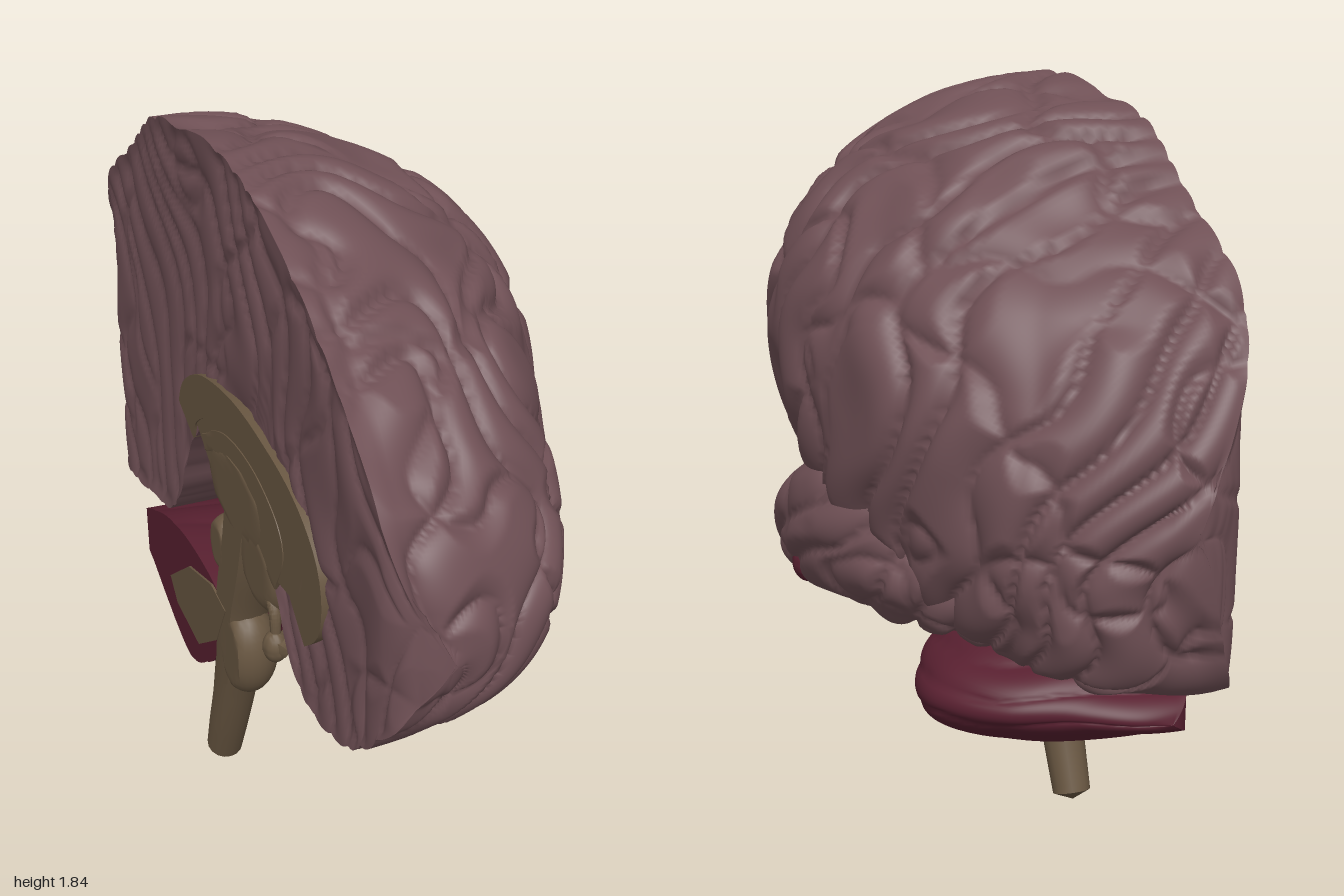
import * as THREE from 'three';
import { toCreasedNormals } from 'three/addons/utils/BufferGeometryUtils.js';

const CUT = -0.375; // x of the flat midline cut
const { smoothstep, lerp, clamp } = THREE.MathUtils;

const flat = (name, color) => Object.assign(new THREE.MeshStandardMaterial({ color }), { name });

// Smooth seeded value noise, 0..1
const hash = (x, y, z) => {
  const s = Math.sin(x * 127.1 + y * 311.7 + z * 74.7) * 43758.5453;
  return s - Math.floor(s);
};
function noise(x, y, z) {
  const c = [x, y, z].map(Math.floor);
  const f = [x - c[0], y - c[1], z - c[2]].map((t) => t * t * (3 - 2 * t));
  let sum = 0;
  for (let k = 0; k < 8; k++) {
    const i = k & 1, j = (k >> 1) & 1, l = k >> 2;
    sum += hash(c[0] + i, c[1] + j, c[2] + l)
      * (i ? f[0] : 1 - f[0]) * (j ? f[1] : 1 - f[1]) * (l ? f[2] : 1 - f[2]);
  }
  return sum;
}

// Winding folds: 1 on a ridge, 0 in a groove
function folds(x, y, z, phase) {
  const u = 0.8 * x + 0.6 * z, t = 0.8 * z - 0.6 * x, v = 0.8 * y + 0.6 * t, w = 0.8 * t - 0.6 * y;
  const a = Math.abs(Math.sin(phase + 9 * noise(u * 3.6 + 5, v * 3.6, w * 3.6 + 5)));
  const b = Math.min(1, 0.1 + 9 * Math.abs(noise(u * 5 + 20, v * 5 + 9, w * 5 + 13) - 0.5));
  return Math.sqrt(Math.min(a, b));
}
const cerebrumFolds = (x, y, z) => folds(x, y, z, 17 * z + 9 * y - 16 * x * z);
const temporalFolds = (x, y, z) => folds(x, y, z, 21 * (y + 0.6 * z) + 8 * x);
const leafFolds = (x, y, z) => Math.sqrt(Math.abs(Math.sin(46 * (y + 0.12 * z) + 3 * noise(x * 4, y * 4, z * 4))));

// Smooth lookup in rows of [z, top, bottom, width, centre x, tuck], eased at both ends
function sampler(rows) {
  const z0 = rows[0][0], z1 = rows[rows.length - 1][0];
  const ang = rows.map((r) => Math.acos(clamp(1 - 2 * (r[0] - z0) / (z1 - z0), -1, 1)));
  const slope = (i, c) => {
    const a = Math.max(0, i - 1), b = Math.min(rows.length - 1, i + 1);
    return (rows[b][c] - rows[a][c]) / (ang[b] - ang[a]);
  };
  return (t) => {
    const th = t * Math.PI;
    let i = 0;
    while (i < rows.length - 2 && th > ang[i + 1]) i++;
    const h = ang[i + 1] - ang[i], u = (th - ang[i]) / h, u2 = u * u, u3 = u2 * u;
    const out = [1, 2, 3, 4, 5].map((c) => (2 * u3 - 3 * u2 + 1) * rows[i][c] + (3 * u2 - 2 * u3) * rows[i + 1][c]
      + h * ((u3 - 2 * u2 + u) * slope(i, c) + (u3 - u2) * slope(i + 1, c)));
    return [z0 + (z1 - z0) * (1 - Math.cos(th)) / 2, ...out];
  };
}

// Grid surface from a point rule
function grid(ni, nj, point) {
  const pos = [], index = [];
  for (let i = 0; i <= ni; i++) {
    for (let j = 0; j <= nj; j++) {
      pos.push(...point(i, j));
      if (i < ni && j < nj) {
        const a = i * (nj + 1) + j, b = a + nj + 1;
        index.push(a, a + 1, b, a + 1, b + 1, b);
      }
    }
  }
  const g = new THREE.BufferGeometry();
  g.setAttribute('position', new THREE.Float32BufferAttribute(pos, 3));
  g.setIndex(index);
  g.computeVertexNormals();
  return g;
}

// Lobe lofted along z, its surface pressed in along the grooves; belly(z) < 1 fills out the lower side
function lobe(rows, ni, nj, half, belly, depth, fold) {
  const at = sampler(rows), span = half ? Math.PI : 2 * Math.PI;
  const g = grid(ni, nj, (i, j) => {
    const [z, top, bottom, w, cx, tuck] = at(i / ni);
    const a = (j / nj - 0.5) * span, s = Math.sin(a), c = Math.cos(a);
    const y = (top + bottom) / 2 + s * (top - bottom) / 2 + Math.max(0, tuck) * Math.max(0, -s) ** 24;
    return [cx + Math.max(0, w) * Math.sign(c) * Math.abs(c) ** (s < 0 ? belly(z) : 1), y, z];
  });
  const p = g.attributes.position, n = g.attributes.normal;
  for (let k = 0; k < p.count; k++) {
    const x = p.getX(k), y = p.getY(k), z = p.getZ(k), j = k % (nj + 1);
    const rim = half ? Math.min(1, 0.35 + 6 * Math.sin(Math.PI * j / nj)) : 1;
    const d = depth * rim * (fold(x, y, z) - 1) * Math.min(1, 6 * Math.sin(Math.PI * Math.floor(k / (nj + 1)) / ni));
    const nx = x + n.getX(k) * d;
    p.setXYZ(k, half ? Math.max(CUT, nx) : nx, y + n.getY(k) * d, z + n.getZ(k) * d);
  }
  g.computeVertexNormals();
  return g;
}

// Midline wall that closes a half lobe
function wall(shell, ni, nj, cols, depth, fold) {
  const p = shell.attributes.position;
  return grid(ni, cols, (i, j) => {
    const lo = i * (nj + 1), hi = lo + nj, t = j / cols;
    const [x, y, z] = ['getX', 'getY', 'getZ'].map((get) => lerp(p[get](hi), p[get](lo), t));
    return [x + depth * (1 - fold(x, y, z)) * Math.min(1, 8 * Math.sin(Math.PI * t)), y, z];
  });
}

// Flatten anything that crosses the midline
function trim(g) {
  const p = g.attributes.position;
  for (let k = 0; k < p.count; k++) p.setX(k, Math.max(CUT - 0.004, p.getX(k)));
  return toCreasedNormals(g, 0.7);
}
const ball = (c, r) => trim(new THREE.SphereGeometry(1, 28, 20).scale(...r).translate(...c));

// Tapered cord through [x, y, z] points, closed at both ends
function cord(points, r0, r1) {
  const curve = new THREE.CatmullRomCurve3(points.map((q) => new THREE.Vector3(...q)));
  const n = 48, g = new THREE.TubeGeometry(curve, n, 1, 16), p = g.attributes.position;
  const v = new THREE.Vector3();
  for (let k = 0; k < p.count; k++) {
    const i = Math.floor(k / 17), c = curve.getPointAt(i / n);
    const r = i === 0 || i === n ? 0 : lerp(r0, r1, i / n);
    v.fromBufferAttribute(p, k).sub(c).multiplyScalar(r).add(c);
    p.setXYZ(k, v.x, v.y, v.z);
  }
  return trim(g);
}

// Plate drawn in (z, y), with its outer face at x = face
const plate = (pts, face, depth) => new THREE.ExtrudeGeometry(new THREE.Shape(pts), { depth, bevelEnabled: false })
  .rotateY(-Math.PI / 2).translate(face + depth, 0, 0);
const v2 = (list) => list.map(([a, b]) => new THREE.Vector2(a, b));

export function createModel() {
  const model = new THREE.Group();
  const cortex = flat('cortex mauve', 0x6f5055);
  const red = flat('cerebellum red', 0x582030);
  const tan = flat('white matter tan', 0x685641);
  const add = (name, geometry, material) => {
    const m = new THREE.Mesh(geometry, material);
    m.name = name;
    model.add(m);
  };

  // Cerebral hemisphere: z, top, bottom, width, centre x, tuck under the midline
  const cerebrum = [
    [-1, 1.02, 1.02, 0, -0.2, 0], [-0.97, 1.23, 0.74, 0.2, -0.29, 0], [-0.9, 1.38, 0.6, 0.4, -0.355, 0],
    [-0.8, 1.51, 0.57, 0.53, CUT, 0.02], [-0.6, 1.64, 0.585, 0.64, CUT, 0.04],
    [-0.4, 1.78, 0.61, 0.715, CUT, 0.09], [-0.2, 1.815, 0.63, 0.76, CUT, 0.38],
    [0, 1.845, 0.68, 0.755, CUT, 0.48], [0.2, 1.825, 0.69, 0.71, CUT, 0.44], [0.3, 1.795, 0.68, 0.675, CUT, 0.24],
    [0.4, 1.755, 0.675, 0.635, CUT, 0.06], [0.5, 1.705, 0.67, 0.6, CUT, 0],
    [0.6, 1.64, 0.67, 0.565, CUT, 0], [0.75, 1.53, 0.72, 0.5, CUT, 0],
    [0.9, 1.37, 0.85, 0.4, CUT, 0], [0.97, 1.24, 0.94, 0.25, -0.345, 0], [1, 1.07, 1.07, 0, -0.26, 0],
  ];
  const belly = (z) => 0.36 + 0.26 * smoothstep(z, -0.25, 0.2) + 0.25 * smoothstep(-z, 0.65, 0.95);
  const shell = lobe(cerebrum, 210, 150, true, belly, 0.04, cerebrumFolds);
  add('cerebralHemisphere', shell, cortex);
  add('hemisphereMidlineWall', wall(shell, 210, 150, 60, 0.02, cerebrumFolds), cortex);

  // Temporal lobe, with a dark patch showing low on its side
  const temporal = [
    [-0.7, 0.78, 0.78, 0, 0, 0], [-0.55, 0.92, 0.64, 0.19, 0.04, 0], [-0.35, 1.03, 0.61, 0.25, 0.1, 0],
    [-0.1, 1.08, 0.56, 0.27, 0.115, 0], [0.1, 1.0, 0.525, 0.265, 0.095, 0], [0.3, 0.88, 0.5, 0.22, 0.06, 0],
    [0.42, 0.78, 0.53, 0.15, 0.04, 0], [0.47, 0.65, 0.65, 0, 0.04, 0],
  ];
  add('temporalLobe', lobe(temporal, 120, 100, false, () => 1, 0.036, temporalFolds), cortex);
  add('temporalPatch', ball([0.3, 0.67, 0.015], [0.04, 0.05, 0.045]), red);

  // Cerebellum with its cut face
  const cerebellum = [
    [-0.76, 0.46, 0.46, 0, -0.3, 0], [-0.68, 0.54, 0.4, 0.28, CUT, 0], [-0.6, 0.58, 0.36, 0.42, CUT, 0],
    [-0.45, 0.63, 0.28, 0.53, CUT, 0], [-0.33, 0.645, 0.25, 0.53, CUT, 0], [-0.2, 0.64, 0.32, 0.45, CUT, 0],
    [-0.1, 0.62, 0.41, 0.3, CUT, 0], [-0.03, 0.55, 0.55, 0, CUT, 0],
  ];
  const small = lobe(cerebellum, 80, 60, true, () => 1.3, 0.01, leafFolds);
  add('cerebellum', small, red);
  add('cerebellumMidlineWall', wall(small, 80, 60, 8, 0, leafFolds), red);
  add('cerebellumCutFace', plate(v2([[-0.02, 0.6], [-0.12, 0.62], [-0.3, 0.57], [-0.47, 0.44],
    [-0.42, 0.38], [-0.25, 0.35], [-0.1, 0.46]]), -0.381, 0.008), tan);

  // Corpus callosum: a curved band, thicker at both ends
  const arch = new THREE.SplineCurve(v2([[0.47, 0.88], [0.55, 0.96], [0.54, 1.08], [0.4, 1.17],
    [0.15, 1.21], [-0.08, 1.18], [-0.21, 1.11], [-0.25, 1.04]]));
  const outer = [], inner = [];
  for (let i = 0; i <= 40; i++) {
    const t = i / 40, p = arch.getPoint(t), d = arch.getTangent(t);
    const w = 0.044 + 0.02 * Math.abs(2 * t - 1) * Math.sin(Math.PI * (0.08 + 0.84 * t)) ** 0.3;
    outer.push(new THREE.Vector2(p.x + d.y * w, p.y - d.x * w));
    inner.unshift(new THREE.Vector2(p.x - d.y * w, p.y + d.x * w));
  }
  add('corpusCallosum', toCreasedNormals(plate([...outer, ...inner], -0.381, 0.12), 0.6), tan);

  // Deep parts under the arch
  add('septum', plate(v2([[0.46, 0.92], [0.52, 1.08], [0.38, 1.16], [0.15, 1.2], [-0.08, 1.16], [-0.2, 1.08],
    [-0.1, 1.0], [0.2, 0.9]]), -0.377, 0.06), tan);
  add('fornix', cord([[-0.375, 0.88, 0.3], [-0.375, 1.02, 0.36], [-0.375, 1.1, 0.24],
    [-0.375, 1.11, 0.04], [-0.36, 1.03, -0.14]], 0.028, 0.028), tan);
  add('thalamus', ball([-0.29, 0.99, 0.08], [0.13, 0.13, 0.25]), tan);
  add('hypothalamus', ball([-0.33, 0.86, 0.2], [0.07, 0.12, 0.13]), tan);
  add('tectum', ball([-0.34, 0.77, -0.07], [0.06, 0.08, 0.06]), tan);

  // Brainstem
  add('brainstem', cord([[-0.33, 0.98, 0.08], [-0.33, 0.8, 0.03], [-0.33, 0.6, -0.04], [-0.33, 0.45, -0.065],
    [-0.33, 0.3, -0.115], [-0.33, 0.15, -0.17], [-0.33, 0, -0.23]], 0.085, 0.048), tan);
  add('pons', ball([-0.33, 0.485, -0.01], [0.08, 0.13, 0.09]), tan);
  add('cerebellarPeduncle', ball([-0.29, 0.5, -0.12], [0.08, 0.07, 0.1]), tan);

  // Pituitary gland on its stalk, and the optic nerve
  add('pituitaryStalk', cord([[-0.36, 0.84, 0.24], [-0.365, 0.79, 0.29], [-0.368, 0.72, 0.3]], 0.018, 0.012), tan);
  add('pituitaryGland', toCreasedNormals(new THREE.SphereGeometry(1, 20, 14)
    .scale(0.03, 0.042, 0.032).translate(-0.37, 0.7, 0.3), 1), tan);
  add('opticNerve', cord([[-0.375, 0.7, 0.33], [-0.32, 0.71, 0.28], [-0.24, 0.69, 0.2], [-0.14, 0.74, 0.1]],
    0.022, 0.022), tan);
  return model;
}
